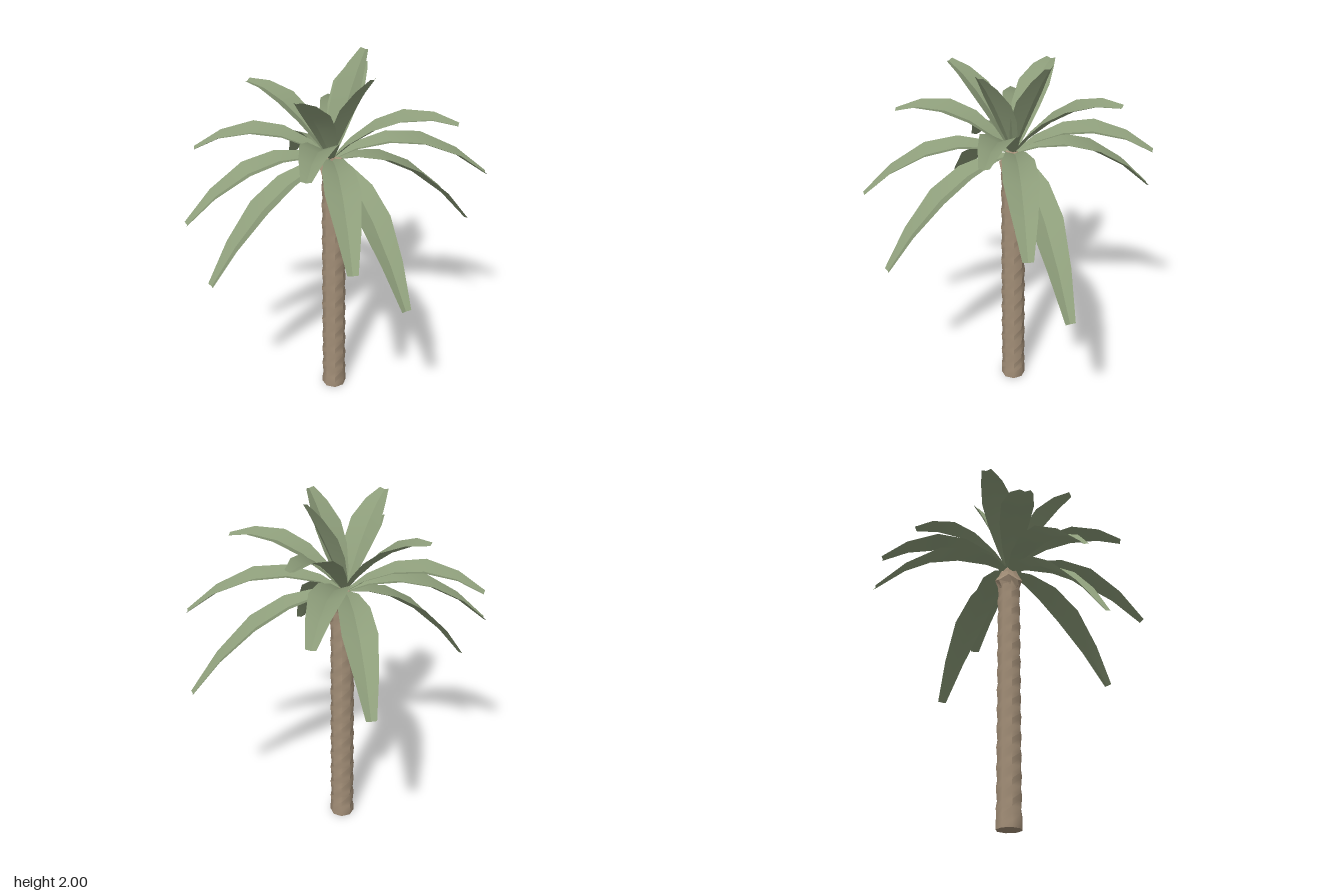
import * as THREE from 'three';
import { toCreasedNormals } from 'three/addons/utils/BufferGeometryUtils.js';

const leafGreen = new THREE.MeshStandardMaterial({ color: 0x8d9d7a, side: THREE.DoubleSide });
leafGreen.name = 'leafGreen';
const barkBrown = new THREE.MeshStandardMaterial({ color: 0xa28e77 });
barkBrown.name = 'barkBrown';

const HEART = new THREE.Vector3(-0.02, 1.46, -0.02);

// Frond tips [x, y, z], going round the crown
const TIPS = [
  [0.40, 1.17, -0.66], [0.56, 1.51, -0.43], [0.50, 1.80, -0.22], [0.23, 1.99, 0.00],
  [0.70, 0.95, 0.38], [0.58, 1.33, 0.55], [0.30, 1.69, 0.53], [-0.01, 1.95, 0.24],
  [-0.28, 0.95, 0.66], [-0.56, 1.25, 0.55], [-0.57, 1.64, 0.29], [-0.38, 1.90, 0.07],
  [-0.70, 0.93, -0.25], [-0.68, 1.22, -0.42], [-0.45, 1.51, -0.58], [-0.15, 1.82, -0.47],
];

// Position along the frond and half width there
const SECTIONS = [[0, 0.012], [0.16, 0.05], [0.36, 0.08], [0.57, 0.088], [0.8, 0.06], [1, 0.026]];

// One drooping blade, folded into a shallow V along its midrib
function frondGeometry(tip) {
  const chord = tip.clone().sub(HEART);
  const reach = Math.hypot(chord.x, chord.z);
  const across = new THREE.Vector3(-chord.z, 0, chord.x).normalize();
  const arch = 0.75 * reach;
  const positions = [], index = [];
  for (const side of [-1, 1]) {
    const start = positions.length / 3;
    SECTIONS.forEach(([t, w], i) => {
      const mid = HEART.clone().addScaledVector(chord, t);
      mid.y += arch * t * (1 - t) - 0.012 * Math.sin(Math.PI * t);
      const along = chord.clone();
      along.y += arch * (1 - 2 * t);
      const up = across.clone().cross(along).normalize();
      if (up.y < 0) up.negate();
      const edge = mid.clone().addScaledVector(across, side * w).addScaledVector(up, 0.36 * w);
      positions.push(...mid.toArray(), ...edge.toArray());
      if (i === 0) return;
      const a = start + 2 * (i - 1);
      if (side > 0) index.push(a, a + 1, a + 2, a + 1, a + 3, a + 2);
      else index.push(a, a + 2, a + 1, a + 1, a + 2, a + 3);
    });
  }
  const g = new THREE.BufferGeometry();
  g.setAttribute('position', new THREE.Float32BufferAttribute(positions, 3));
  g.setIndex(index);
  g.computeVertexNormals();
  return g;
}

// Eight-sided trunk with staggered bark scars
function trunkGeometry() {
  const height = 1.38, sides = 8, rows = 39;
  const g = new THREE.CylinderGeometry(1, 1, height, sides, rows);
  const p = g.attributes.position;
  for (let i = 0; i < p.count; i++) {
    const x = p.getX(i), z = p.getZ(i);
    const y = p.getY(i) + height / 2;
    if (Math.hypot(x, z) < 0.5) continue;
    const row = Math.round(y / height * rows);
    const column = (Math.round(Math.atan2(z, x) / (Math.PI / 4)) + 8) % 8;
    const scar = row < 2 ? 1 : ((row + column * 2) % 3) / 2;
    const r = 0.066 - 0.004 * (y / height) + 0.006 * (scar - 0.5);
    p.setXYZ(i, x * r, p.getY(i), z * r);
  }
  g.translate(0, height / 2, 0);
  return toCreasedNormals(g, 0.85);
}

// Faceted, twisted knob that the fronds grow from
function crownGeometry() {
  const profile = [[0.05, 1.32], [0.062, 1.355], [0.076, 1.40], [0.056, 1.43], [0.042, 1.465], [0, 1.48]];
  let g = new THREE.LatheGeometry(profile.map(([r, y]) => new THREE.Vector2(r, y)), 8);
  const p = g.attributes.position;
  for (let i = 0; i < p.count; i++) {
    const x = p.getX(i), y = p.getY(i), z = p.getZ(i);
    const column = Math.floor(i / profile.length) % 8;
    const twist = (y - 1.32) * 3;
    const c = Math.cos(twist), s = Math.sin(twist);
    const lift = y > 1.34 && y < 1.47 ? (column % 2 ? 0.012 : -0.012) : 0;
    p.setXYZ(i, x * c - z * s, y + lift, x * s + z * c);
  }
  g = g.toNonIndexed();
  g.computeVertexNormals();
  return g;
}

export function createModel() {
  const palm = new THREE.Group();
  palm.name = 'palmTree';

  const trunk = new THREE.Mesh(trunkGeometry(), barkBrown);
  trunk.name = 'trunk';
  trunk.position.set(-0.012, 0, -0.01);

  const crown = new THREE.Mesh(crownGeometry(), barkBrown);
  crown.name = 'crownKnob';
  crown.position.set(-0.01, 0, -0.01);

  const fronds = new THREE.Group();
  fronds.name = 'fronds';
  TIPS.forEach((tip, i) => {
    const frond = new THREE.Mesh(frondGeometry(new THREE.Vector3(...tip)), leafGreen);
    frond.name = `frond${i + 1}`;
    fronds.add(frond);
  });

  palm.add(trunk, crown, fronds);
  return palm;
}
